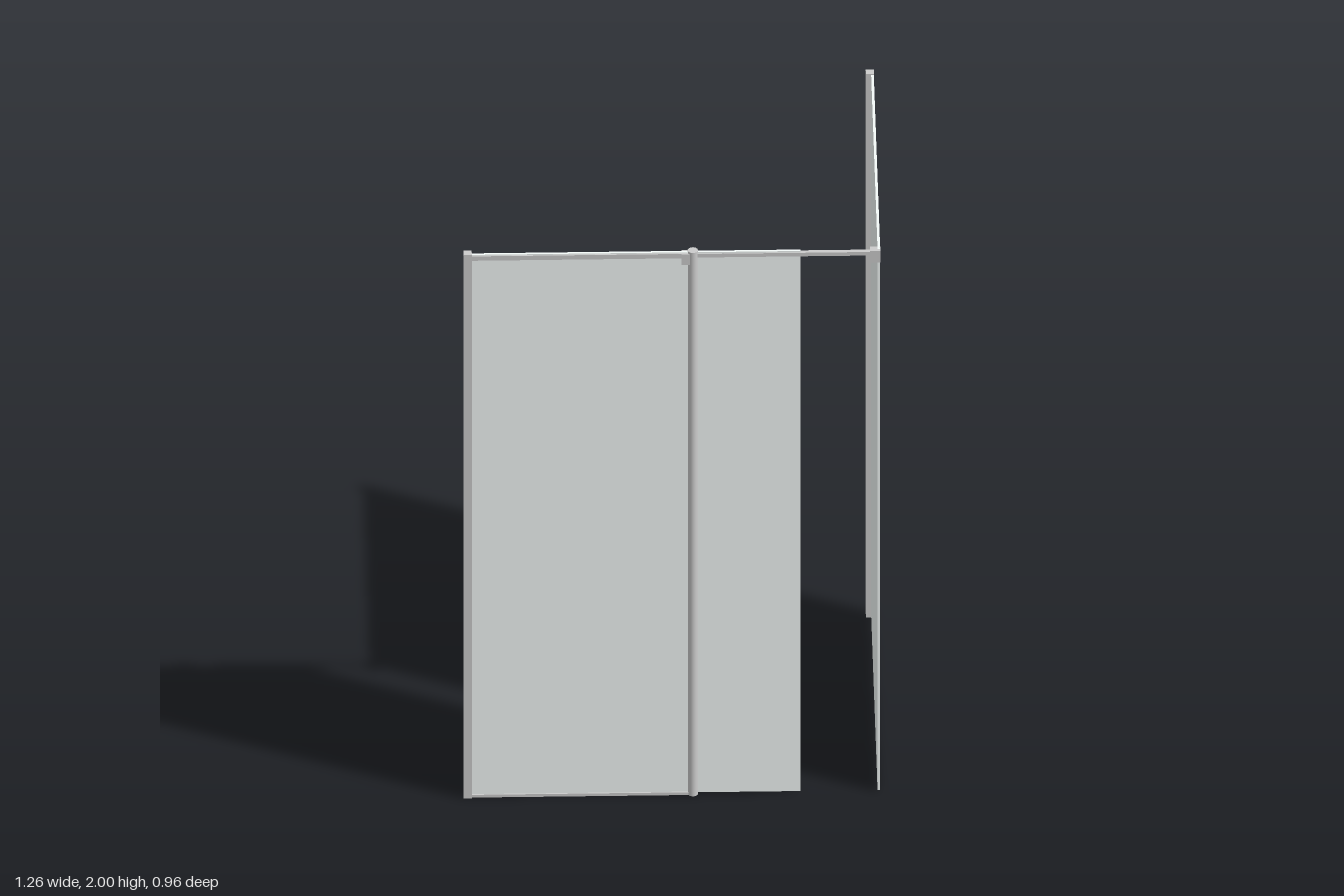
import * as THREE from 'three';

export function createModel() {
  const model = new THREE.Group();
  const metal = new THREE.MeshStandardMaterial({ color: 0xc8cccc });
  const glass = new THREE.MeshStandardMaterial({ color: 0xf4faf8 });

  const add = (name, geometry, material, x, y, z) => {
    const mesh = new THREE.Mesh(geometry, material);
    mesh.name = name;
    mesh.position.set(x, y, z);
    model.add(mesh);
  };
  // Box given by its extents on each axis
  const box = (name, material, [x0, x1], [y0, y1], [z0, z1]) =>
    add(name, new THREE.BoxGeometry(x1 - x0, y1 - y0, z1 - z0), material,
      (x0 + x1) / 2, (y0 + y1) / 2, (z0 + z1) / 2);

  const front = 0.4655; // centre plane of the front screens
  const around = (half) => [front - half, front + half];

  // Glass screens
  box('fixedGlass', glass, [-0.617, 0.058], [0.008, 1.995], around(0.004));
  box('doorGlass', glass, [0.068, 0.388], [0.007, 1.995], around(0.004));
  box('sideGlass', glass, [0.621, 0.629], [0.006, 1.997], [-0.474, 0.467]);

  // Wall profiles, full height
  box('frontWallProfile', metal, [-0.63, -0.605], [0, 2], around(0.0125));
  box('sideWallProfile', metal, [0.605, 0.63], [0, 2], [-0.478, -0.454]);

  // Round hinge post between the fixed screen and the door
  add('hingePost', new THREE.CylinderGeometry(0.0155, 0.0155, 2, 32), metal, 0.063, 1, front);

  // Rails along the top and the sill under the fixed screen
  box('topRail', metal, [-0.605, 0.053], [1.976, 1.992], around(0.008));
  box('stabiliserBar', metal, [0.053, 0.603], [1.977, 1.99], around(0.0065));
  box('bottomRail', metal, [-0.605, 0.053], [0, 0.01], around(0.008));

  // Clamps holding the stabiliser bar
  box('hingeClamp', metal, [0.029, 0.059], [1.955, 1.993], around(0.0125));
  box('cornerClamp', metal, [0.598, 0.63], [1.955, 1.997], around(0.0125));

  return model;
}
